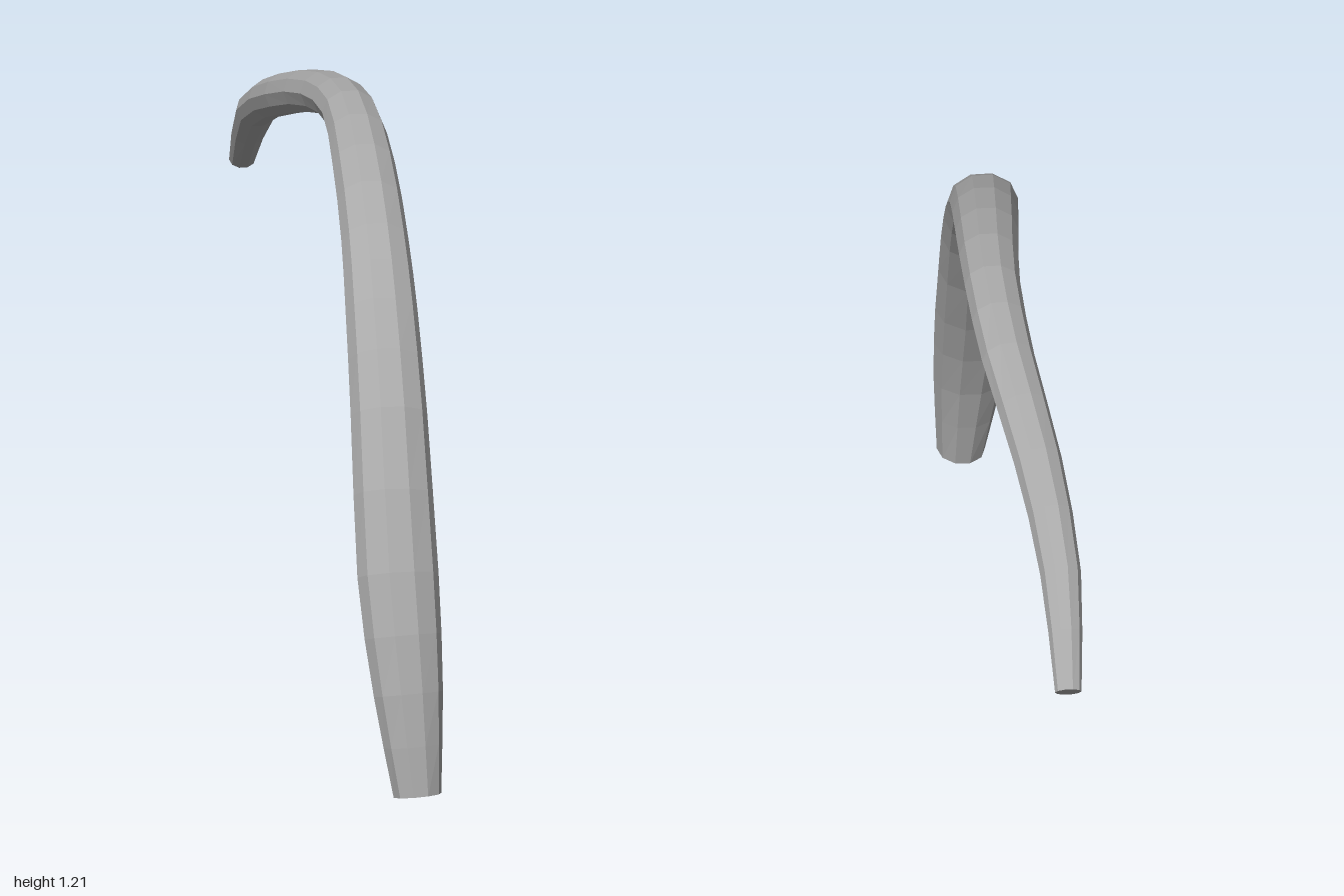
import * as THREE from 'three';

// Stations along the curved body: centre x, y, z, then width and thickness
const STATIONS = [
  [0.25, 0.015, 0.955, 0.1, 0.092],
  [0.228, 0.222, 0.917, 0.145, 0.1],
  [0.2, 0.453, 0.84, 0.17, 0.115],
  [0.168, 0.75, 0.68, 0.16, 0.118],
  [0.14, 0.93, 0.53, 0.15, 0.112],
  [0.115, 1.037, 0.392, 0.14, 0.11],
  [0.072, 1.13, 0.155, 0.13, 0.1],
  [0.022, 1.168, -0.09, 0.115, 0.092],
  [-0.045, 1.14, -0.31, 0.11, 0.09],
  [-0.145, 1.06, -0.555, 0.1, 0.088],
  [-0.23, 0.95, -0.796, 0.085, 0.075],
  [-0.275, 0.785, -0.983, 0.055, 0.042],
];
const SIDES = 10;
const SEGMENTS = 22;

// Elliptical cross-sections lofted along the path, closed by a flat cap at each end
function sweptHorn() {
  const path = new THREE.CatmullRomCurve3(STATIONS.map(([x, y, z]) => new THREE.Vector3(x, y, z)));
  const size = new THREE.CatmullRomCurve3(STATIONS.map(([, , , w, t]) => new THREE.Vector3(w, t, 0)));
  const positions = [];
  const indices = [];
  for (let i = 0; i <= SEGMENTS; i++) {
    const u = i / SEGMENTS;
    const centre = path.getPoint(u);
    const tangent = path.getTangent(u);
    const s = size.getPoint(u);
    const across = new THREE.Vector3(1, 0, -0.25);
    across.addScaledVector(tangent, -across.dot(tangent)).normalize();
    const outward = new THREE.Vector3().crossVectors(tangent, across);
    for (let j = 0; j < SIDES; j++) {
      const a = (j / SIDES) * Math.PI * 2;
      const p = centre.clone()
        .addScaledVector(across, Math.cos(a) * s.x / 2)
        .addScaledVector(outward, Math.sin(a) * s.y / 2);
      positions.push(p.x, p.y, p.z);
    }
  }
  for (let i = 0; i < SEGMENTS; i++) {
    for (let j = 0; j < SIDES; j++) {
      const a = i * SIDES + j;
      const b = i * SIDES + (j + 1) % SIDES;
      indices.push(a, b, b + SIDES, a, b + SIDES, a + SIDES);
    }
  }
  const last = SEGMENTS * SIDES;
  for (let j = 1; j < SIDES - 1; j++) {
    indices.push(0, j + 1, j, last, last + j, last + j + 1);
  }
  const geometry = new THREE.BufferGeometry();
  geometry.setAttribute('position', new THREE.Float32BufferAttribute(positions, 3));
  geometry.setIndex(indices);
  const faceted = geometry.toNonIndexed();
  faceted.computeVertexNormals();
  return faceted;
}

export function createModel() {
  const model = new THREE.Group();
  const grey = new THREE.MeshStandardMaterial({ color: 0xaaaaaa, flatShading: true });
  grey.name = 'grey';
  const body = new THREE.Mesh(sweptHorn(), grey);
  body.name = 'curvedBody';
  model.add(body);
  return model;
}
